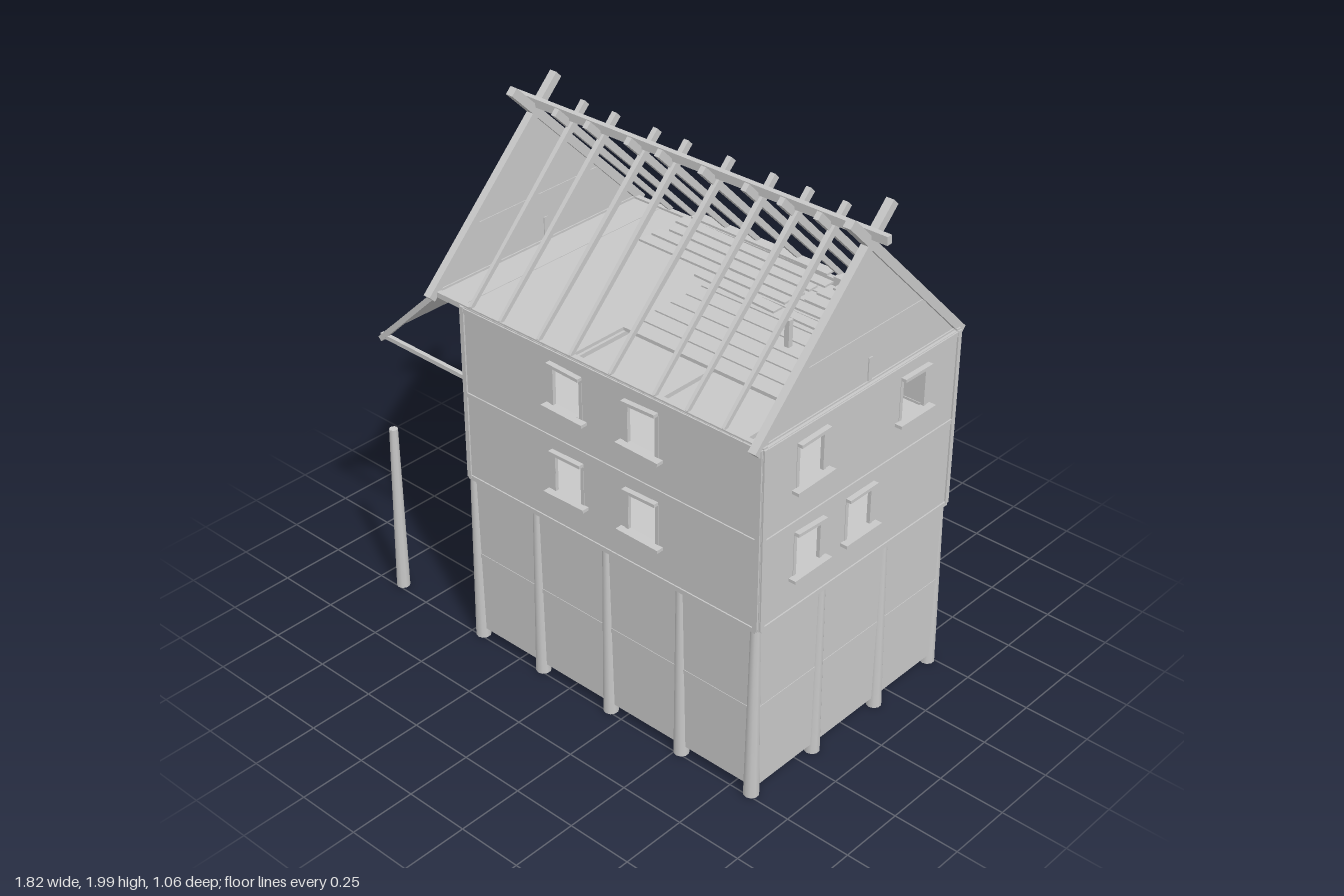
import * as THREE from 'three';

const wood = new THREE.MeshStandardMaterial({ color: 0xc8c8c8, side: THREE.DoubleSide });
wood.name = 'plain grey';

const X0 = -0.475, X1 = 0.855, Z = 0.5, EAVE = 1.38;

// small seeded generator for hand-hewn irregularity
let seed = 7;
const wobble = (a) => {
  seed = (seed * 16807) % 2147483647;
  return (seed / 2147483647 - 0.5) * 2 * a;
};
const V = (x, y, z) => new THREE.Vector3(x, y, z);

export function createModel() {
  seed = 7;
  const root = new THREE.Group();
  root.name = 'timberHouse';

  const add = (name, geo, parent = root) => {
    const m = new THREE.Mesh(geo, wood);
    m.name = name;
    parent.add(m);
    return m;
  };
  const box = (name, x0, x1, y0, y1, z0, z1) => {
    const m = add(name, new THREE.BoxGeometry(x1 - x0, y1 - y0, z1 - z0));
    m.position.set((x0 + x1) / 2, (y0 + y1) / 2, (z0 + z1) / 2);
    return m;
  };
  // squared timber from a to b; taper narrows the far end
  const beam = (name, a, b, w, h, taper = 1) => {
    const len = a.distanceTo(b);
    const geo = new THREE.BoxGeometry(w, h, len);
    const p = geo.attributes.position;
    for (let i = 0; i < p.count; i++) {
      if (p.getZ(i) > 0) p.setXY(i, p.getX(i) * taper, p.getY(i) * taper);
    }
    const m = add(name, geo);
    m.position.copy(a).lerp(b, 0.5);
    m.lookAt(b);
    return m;
  };
  const polygon = (pts) => new THREE.Shape(pts.map(([x, y]) => new THREE.Vector2(x, y)));
  const slab = (shape, depth) => new THREE.ExtrudeGeometry(shape, { depth, bevelEnabled: false });

  // four sides: u runs along the wall, out points away from it
  const sides = [
    { name: 'front', u0: X0, u1: X1, at: (u, y, out) => V(u, y, Z + out),
      posts: [-0.455, -0.145, 0.185, 0.515, 0.83],
      windows: [[0.022, 1.245], [0.355, 1.245], [0.022, 0.91], [0.355, 0.91]] },
    { name: 'back', u0: X0, u1: X1, at: (u, y, out) => V(u, y, -Z - out),
      posts: [-0.455, -0.145, 0.185, 0.515, 0.83],
      windows: [[0.022, 1.245], [0.61, 1.245]] },
    { name: 'right', turned: true, u0: -Z, u1: Z, at: (u, y, out) => V(X1 + out, y, u),
      posts: [-0.16, 0.175],
      windows: [[0.265, 1.245], [-0.255, 1.245], [0.265, 0.91], [0.005, 0.91]] },
    { name: 'left', turned: true, u0: -Z, u1: Z, at: (u, y, out) => V(X0 - out, y, u),
      posts: [-0.16, 0.175],
      windows: [[0.265, 0.91], [0.005, 0.91], [-0.26, 0.91]] },
  ];

  for (const s of sides) {
    const { u0, u1, at } = s;
    const place = (mesh, inset) => {
      const c = at(0, 0, -inset);
      if (s.turned) { mesh.rotation.y = -Math.PI / 2; mesh.position.x = c.x + 0.005; }
      else mesh.position.z = c.z - 0.005;
    };
    const rect = (a, b, y0, y1) => polygon([[a, y0], [b, y0], [b, y1], [a, y1]]);

    // lower wall
    place(add(s.name + 'LowerWall', slab(rect(u0 + 0.012, u1 - 0.012, 0.05, 0.71), 0.01)), 0.012);

    // upper wall with slightly crooked window holes
    const shape = rect(u0, u1, 0.7, EAVE);
    for (const [u, y] of s.windows) {
      const w = 0.06, h = 0.078;
      shape.holes.push(new THREE.Path([
        [u - w, y - h], [u - w + wobble(0.006), y + h],
        [u + w + wobble(0.006), y + h], [u + w, y - h],
      ].map(([a, b]) => new THREE.Vector2(a, b))));
      // sill and lintel boards
      for (const [half, dy, d] of [[0.092, -0.083, 0.04], [0.072, 0.08, 0.024]]) {
        const t = wobble(0.005);
        beam(s.name + (dy < 0 ? 'Sill' : 'Lintel'), at(u - half, y + dy - t, 0.008),
          at(u + half, y + dy + t, 0.008), d, 0.012);
      }
      // side boards of the opening
      for (const k of [-1, 1]) {
        beam(s.name + 'Jamb', at(u + k * (w + 0.006), y - h, -0.005), at(u + k * (w + 0.006), y + h, -0.005), 0.014, 0.014);
      }
    }
    place(add(s.name + 'UpperWall', slab(shape, 0.01)), 0.005);

    // horizontal rails and plates
    for (const y of [0.37, 0.7, 1.035, 1.37]) {
      const inset = y < 0.6 ? -0.014 : -0.004;
      beam(s.name + 'Rail', at(u0 + 0.01, y + wobble(0.004), inset), at(u1 - 0.01, y + wobble(0.004), inset), 0.018, 0.018);
    }
    // upper studs
    const n = s.turned ? 2 : 3;
    for (let i = 0; i <= n; i++) {
      const u = u0 + 0.012 + (u1 - u0 - 0.024) * i / n;
      if (s.windows.some(([wu]) => Math.abs(wu - u) < 0.08)) continue;
      beam(s.name + 'Stud', at(u, 0.7, -0.003), at(u + wobble(0.004), EAVE, -0.003), 0.018, 0.018);
    }
    // diagonal braces in the lower storey
    const b = s.turned ? [[-0.46, -0.18], [0.46, 0.2]] : [[-0.43, -0.17], [0.21, 0.49]];
    for (const [a, c] of b) beam(s.name + 'Brace', at(a, 0.68, -0.014), at(c, 0.38, -0.014), 0.014, 0.014);

    // round posts
    for (const u of s.posts) {
      const p = add(s.name + 'Post', new THREE.CylinderGeometry(0.018, 0.028, 0.69, 10));
      p.position.copy(at(u, 0.355, -0.016));
      p.rotation.z = wobble(0.01);
    }
  }

  // inner floors
  box('firstFloor', X0 + 0.01, X1 - 0.01, 0.69, 0.7, -0.49, 0.49);
  box('secondFloor', X0 + 0.01, X1 - 0.01, 1.025, 1.035, -0.49, 0.49);

  // attic floor, solid over the left part and planked over the back right
  box('atticFloor', -0.6, 0.03, 1.365, 1.378, -0.49, 0.49);
  for (let i = 0; i < 9; i++) {
    const z = -0.45 + i * 0.077;
    box('atticPlank', 0.03, 0.75 + wobble(0.02), 1.365, 1.378, z, z + 0.07);
  }
  for (const x of [0.03, 0.4, 0.75]) box('atticJoist', x - 0.01, x + 0.01, 1.35, 1.366, -0.49, 0.49);

  // loose boards lying above the attic floor
  for (let i = 0; i < 6; i++) {
    const z = -0.42 + i * 0.062;
    const gap = 0.39 + wobble(0.03);
    const start = i < 5 ? -0.24 + wobble(0.02) : 0.05;
    beam('looseBoard', V(start, 1.45, z), V(gap, 1.44, z + wobble(0.005)), 0.045, 0.008);
    beam('looseBoard', V(gap + 0.03, 1.442, z), V(0.74 + wobble(0.02), 1.44, z + wobble(0.005)), 0.04, 0.008);
  }
  box('shortAtticPost', 0.5, 0.52, EAVE, 1.48, -0.04, -0.02);

  // gable panels, frames and crossed barge boards
  for (const x of [-0.6, 0.835]) {
    const g = add('gable', slab(polygon([[-0.49, 1.37], [0.49, 1.37], [0, 1.87]]), 0.01));
    g.rotation.y = -Math.PI / 2;
    g.position.x = x + 0.005;
    beam('gableTie', V(x, 1.56, -0.31), V(x, 1.555, 0.32), 0.016, 0.022);
    beam('gableSillBeam', V(x, 1.375, -0.49), V(x, 1.375, 0.49), 0.02, 0.022);
    beam('gableStud', V(x, 1.38, -0.03), V(x, 1.47, -0.03), 0.018, 0.018);
    for (const k of [-1, 1]) {
      beam('bargeBoard', V(x, 1.365, k * 0.52), V(x, 1.985, -k * 0.105), 0.03, 0.032);
    }
  }

  // common rafters, crossing at the ridge
  for (const x of [-0.43, -0.285, -0.1, 0.035, 0.22, 0.4, 0.545, 0.69]) {
    for (const k of [-1, 1]) {
      const top = x + k * 0.006;
      beam('rafter', V(x + wobble(0.008), 1.385, k * 0.495), V(top, 1.945, -k * 0.065), 0.012, 0.016, 1.7);
    }
  }
  beam('ridgeBeam', V(-0.69, 1.915, 0), V(0.91, 1.915, 0), 0.022, 0.03);

  // lean-to canopy on the left end
  const canopy = beam('canopyRoof', V(-0.605, 1.372, 0), V(-0.88, 1.115, 0), 0.98, 0.008);
  canopy.name = 'canopyRoof';
  for (const k of [-1, 1]) {
    const z = k * 0.488;
    beam('canopyRafter', V(-0.6, 1.37, z), V(-0.905, 1.08, z), 0.018, 0.02);
    beam('canopyTie', V(-0.9, 1.098, z), V(-0.47, 1.094, z), 0.016, 0.016);
    beam('eaveBeam', V(-0.61, 1.376, z), V(X1, 1.376, z), 0.02, 0.02);
    // free-standing posts
    const post = add('canopyPost', new THREE.CylinderGeometry(0.016, 0.025, 0.695, 10));
    post.position.set(-0.882, 0.367, z);
    post.rotation.z = -0.012;
  }
  return root;
}
